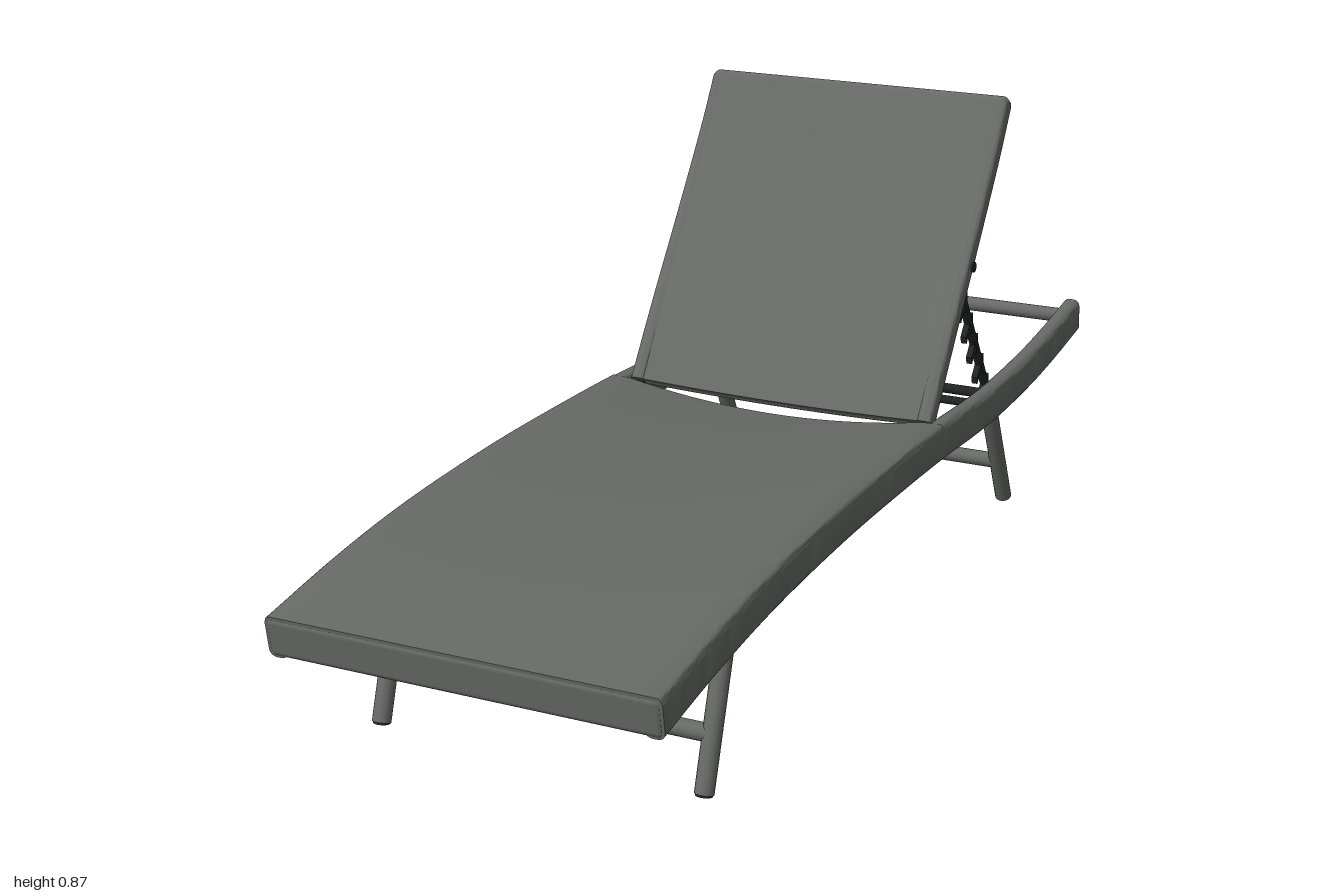
import * as THREE from 'three';
import { toCreasedNormals } from 'three/addons/utils/BufferGeometryUtils.js';
import { RoundedBoxGeometry } from 'three/addons/geometries/RoundedBoxGeometry.js';

const grey = new THREE.MeshStandardMaterial({ color: 0x666965 });
grey.name = 'grey weave';
const black = new THREE.MeshStandardMaterial({ color: 0x222423 });
black.name = 'black metal';

const V = (x, y, z) => new THREE.Vector3(x, y, z);

function add(parent, name, geometry, material = grey) {
  const mesh = new THREE.Mesh(geometry, material);
  mesh.name = name;
  parent.add(mesh);
  return mesh;
}

// Counter-clockwise rounded rectangle as [x, n] pairs, long edges subdivided
function roundRect(cx, cn, w, h, r, nx = 1) {
  const pts = [];
  const corners = [[1, 1], [-1, 1], [-1, -1], [1, -1]];
  corners.forEach(([sx, sn], k) => {
    for (let i = 0; i <= 4; i++) {
      const a = (k + i / 4) * Math.PI / 2;
      pts.push([cx + sx * (w / 2 - r) + r * Math.cos(a), cn + sn * (h / 2 - r) + r * Math.sin(a)]);
    }
    if (k % 2 === 0) {
      for (let i = 1; i < nx; i++) pts.push([cx + sx * (w / 2 - r) * (1 - 2 * i / nx), cn + sn * h / 2]);
    }
  });
  return pts;
}

// Sweeps a section along a path in the YZ plane; sag(x, u) lowers points along the normal
function sweep(path, section, sag = () => 0) {
  const pos = [], idx = [], m = section.length, last = path.length - 1;
  path.forEach((p, j) => {
    const t = path[Math.min(j + 1, last)].clone().sub(path[Math.max(j - 1, 0)]).normalize();
    for (const [x, n] of section) {
      const d = n - sag(x, j / last);
      pos.push(x, p.y - t.z * d, p.z + t.y * d);
    }
  });
  for (let j = 0; j < last; j++) {
    for (let i = 0; i < m; i++) {
      const k = (i + 1) % m, a = j * m + i, b = j * m + k;
      idx.push(a, a + m, b + m, a, b + m, b);
    }
  }
  // End caps, stitched across so a sagging section stays closed
  for (const end of [0, last]) {
    for (let i = 0, k = m - 1; i + 1 < k; i++, k--) {
      const [a, b, c, d] = [i, i + 1, k - 1, k].map(v => v + end * m);
      if (end === 0) idx.push(a, b, c, a, c, d);
      else idx.push(a, c, b, a, d, c);
    }
  }
  const g = new THREE.BufferGeometry();
  g.setAttribute('position', new THREE.Float32BufferAttribute(pos, 3));
  g.setIndex(idx);
  return toCreasedNormals(g, 0.7);
}

// Round bar between two points
function bar(parent, name, a, b, r, material = grey) {
  const mesh = add(parent, name, new THREE.CylinderGeometry(r, r, a.distanceTo(b), 16), material);
  mesh.position.copy(a).add(b).multiplyScalar(0.5);
  mesh.quaternion.setFromUnitVectors(V(0, 1, 0), b.clone().sub(a).normalize());
  return mesh;
}

const spline = pts => new THREE.CatmullRomCurve3(pts.map(([z, y]) => V(0, y, z)));

export function createModel() {
  const model = new THREE.Group();
  model.name = 'sunLounger';

  // Wavy side rails
  const railPath = spline([[0.992, 0.253], [0.8, 0.281], [0.6, 0.3], [0.3, 0.309], [0, 0.304],
    [-0.2, 0.296], [-0.35, 0.286], [-0.5, 0.281], [-0.7, 0.286], [-0.85, 0.298], [-0.995, 0.315]]).getPoints(120);
  const frame = new THREE.Group();
  frame.name = 'frame';
  model.add(frame);
  for (const s of [1, -1]) {
    add(frame, s > 0 ? 'leftRail' : 'rightRail', sweep(railPath, roundRect(s * 0.3325, 0, 0.035, 0.073, 0.013)));
  }
  const front = add(frame, 'frontRail', new RoundedBoxGeometry(0.698, 0.073, 0.035, 4, 0.012));
  front.position.set(0, 0.255, 0.977);
  front.rotation.x = 0.14;
  bar(frame, 'rearRail', V(-0.325, 0.315, -0.983), V(0.325, 0.315, -0.983), 0.015);

  // Seat sling, dipping towards its rear edge
  const bulge = x => Math.max(0, 1 - (x / 0.315) ** 2);
  const seatPath = railPath.filter(p => p.z > -0.17);
  const seatSag = (x, u) => 0.03 * u * u * bulge(x);
  add(model, 'seat', sweep(seatPath, roundRect(0, 0.026, 0.698, 0.023, 0.009, 20), seatSag));
  for (const x of [-0.11, 0.11]) {
    add(model, 'seatSeam', sweep(seatPath, roundRect(x, 0.013, 0.007, 0.008, 0.002), seatSag));
  }

  // Backrest: curved side bars, end bars and a sling on the front
  const back = new THREE.Group();
  back.name = 'backrest';
  model.add(back);
  const backPath = spline([[-0.204, 0.318], [-0.3, 0.452], [-0.396, 0.58], [-0.53, 0.765], [-0.586, 0.853]]).getPoints(30);
  const backSag = (x, u) => 0.025 * (1 - u) ** 2 * bulge(x);
  add(back, 'backPanel', sweep(backPath, roundRect(0, 0.01, 0.63, 0.02, 0.008, 20), backSag));
  for (const s of [1, -1]) {
    add(back, 'backSideBar', sweep(backPath, roundRect(s * 0.3, 0, 0.03, 0.04, 0.012)));
  }
  const topBar = add(back, 'backTopBar', new RoundedBoxGeometry(0.63, 0.034, 0.04, 4, 0.013));
  topBar.position.set(0, 0.85, -0.584);
  topBar.rotation.x = -0.58;
  const lower = [];
  for (let i = 0; i <= 16; i++) {
    const x = -0.3 + i * 0.0375, d = 0.025 * bulge(x);
    lower.push(V(x, 0.326 - d * 0.58, -0.213 - d * 0.81));
  }
  add(back, 'backLowerBar', new THREE.TubeGeometry(new THREE.CatmullRomCurve3(lower), 24, 0.014, 10));

  // Hinges between backrest and rails
  for (const s of [1, -1]) {
    bar(model, 'hingePin', V(s * 0.28, 0.3, -0.19), V(s * 0.325, 0.3, -0.19), 0.012, black);
    const plate = add(model, 'hingePlate', new THREE.BoxGeometry(0.02, 0.035, 0.05), black);
    plate.position.set(s * 0.3, 0.302, -0.187);
  }

  // Legs with dark feet and cross bars
  function legPair(name, zTop, zFoot) {
    const g = new THREE.Group();
    g.name = name;
    model.add(g);
    for (const s of [1, -1]) {
      const foot = V(s * 0.301, 0.008, zFoot), top = V(s * 0.301, 0.275, zTop);
      bar(g, 'leg', foot, top, 0.0165);
      bar(g, 'foot', V(s * 0.301, 0.005, zFoot), foot.clone().lerp(top, 0.025), 0.0145, black);
    }
    const z = y => zFoot + (zTop - zFoot) * (y - 0.008) / 0.267;
    bar(g, 'lowerCrossBar', V(-0.3, 0.1, z(0.1)), V(0.3, 0.1, z(0.1)), 0.0155);
    return { g, z };
  }
  const fl = legPair('frontLegs', 0.668, 0.757);
  bar(fl.g, 'upperCrossBar', V(-0.3, 0.245, fl.z(0.245)), V(0.3, 0.245, fl.z(0.245)), 0.013);
  const rl = legPair('rearLegs', -0.545, -0.675);
  bar(rl.g, 'catchBar', V(-0.32, 0.262, -0.572), V(0.32, 0.262, -0.572), 0.01, black);

  // U-shaped support with ratchet teeth
  const support = new THREE.Group();
  support.name = 'backSupport';
  model.add(support);
  const armTop = V(0.275, 0.575, -0.4), armEnd = V(0.275, 0.235, -0.632);
  const u = new THREE.CurvePath();
  const corner = V(0.275, 0.208, -0.652), inner = V(0.235, 0.208, -0.652);
  const flip = p => V(-p.x, p.y, p.z);
  u.add(new THREE.LineCurve3(armTop, armEnd));
  u.add(new THREE.QuadraticBezierCurve3(armEnd, corner, inner));
  u.add(new THREE.LineCurve3(inner, flip(inner)));
  u.add(new THREE.QuadraticBezierCurve3(flip(inner), flip(corner), flip(armEnd)));
  u.add(new THREE.LineCurve3(flip(armEnd), flip(armTop)));
  add(support, 'supportBar', new THREE.TubeGeometry(u, 160, 0.009, 10), black);

  // One hooked tooth, drawn in the (z, y) plane
  const tooth = new THREE.Shape();
  tooth.moveTo(0, 0.03);
  tooth.lineTo(0.034, -0.012);
  tooth.lineTo(0.03, -0.026);
  tooth.quadraticCurveTo(0.018, -0.002, -0.004, -0.014);
  const toothGeo = new THREE.ExtrudeGeometry(tooth, { depth: 0.012, bevelEnabled: false });
  toothGeo.translate(0, 0, -0.006);
  toothGeo.rotateY(-Math.PI / 2);
  for (const s of [1, -1]) {
    bar(support, 'supportPivot', V(s * 0.265, 0.575, -0.4), V(s * 0.319, 0.575, -0.4), 0.01, black);
    for (let i = 0; i < 5; i++) {
      const p = armTop.clone().lerp(armEnd, 0.3 + i * 0.155);
      add(support, 'ratchetTooth', toothGeo, black).position.set(s * p.x, p.y, p.z);
    }
  }
  return model;
}
